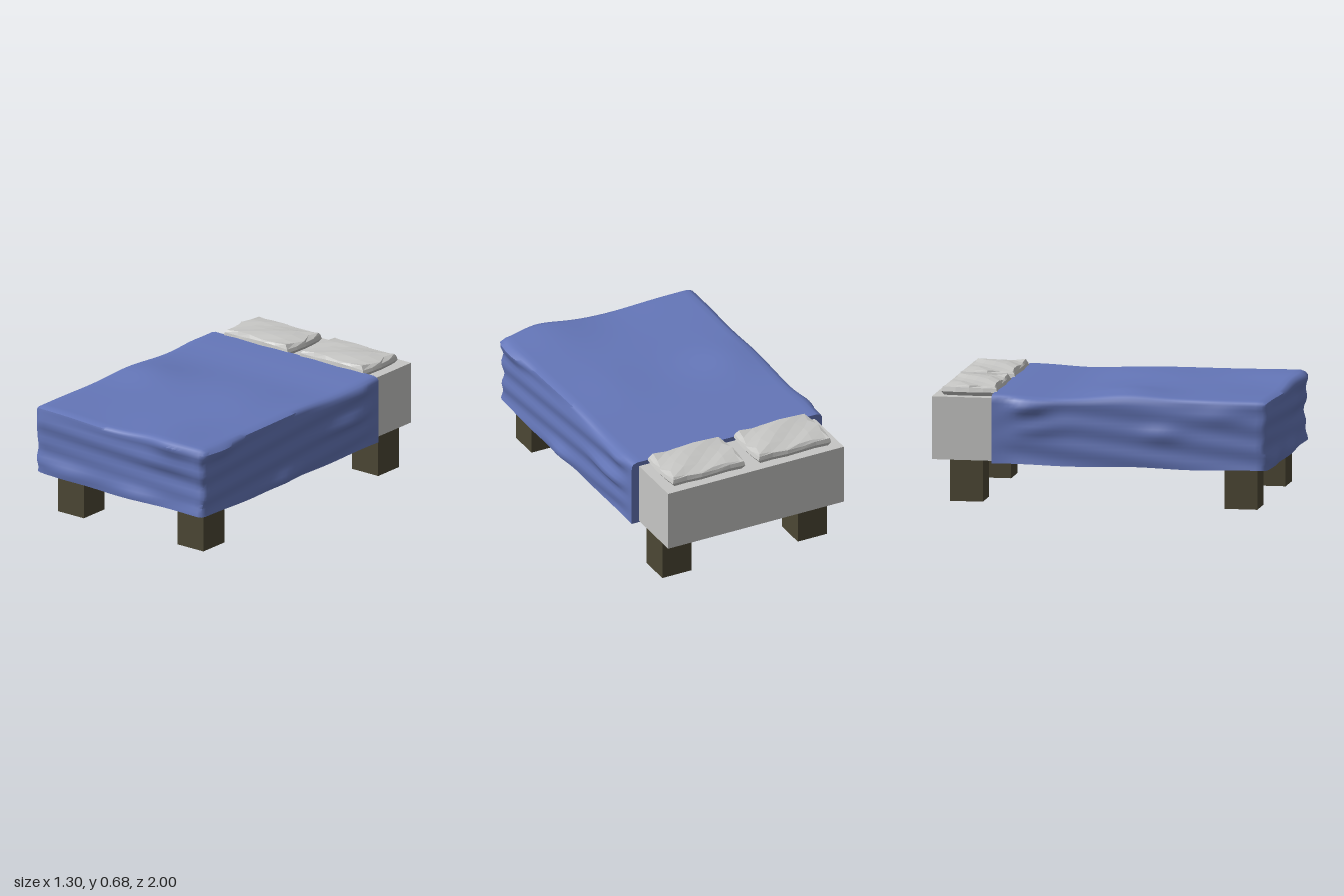
import * as THREE from 'three';
import { mergeVertices, toCreasedNormals } from 'three/addons/utils/BufferGeometryUtils.js';

const mat = (name, color) => {
  const m = new THREE.MeshStandardMaterial({ color });
  m.name = name;
  return m;
};

// Smooth bump around c with width w
const bump = (v, c, w) => Math.exp(-(((v - c) / w) ** 2));

// Moves every vertex of a geometry by a rule, returning a welded geometry
function reshape(geometry, rule) {
  geometry.deleteAttribute('uv');
  geometry.deleteAttribute('normal');
  const geo = mergeVertices(geometry);
  const pos = geo.attributes.position;
  const p = new THREE.Vector3();
  for (let i = 0; i < pos.count; i++) {
    rule(p.fromBufferAttribute(pos, i));
    pos.setXYZ(i, p.x, p.y, p.z);
  }
  return geo;
}

// Rumpled blanket: a soft-edged block with folds along its sides
function blanketGeometry() {
  const x0 = -0.605, x1 = 0.625, y0 = 0.238, y1 = 0.637, z0 = -0.645, z1 = 0.96, r = 0.03;
  const box = new THREE.BoxGeometry(x1 - x0, y1 - y0, z1 - z0, 36, 16, 48);
  box.translate((x0 + x1) / 2, (y0 + y1) / 2, (z0 + z1) / 2);
  const inner = new THREE.Vector3(), off = new THREE.Vector3();
  const lo = new THREE.Vector3(x0 + r, y0, z0), hi = new THREE.Vector3(x1 - r, y1 - r, z1 - r);
  const geo = reshape(box, (p) => {
    const { x, y, z } = p;
    // Rounded top, front and side edges
    inner.copy(p).clamp(lo, hi);
    off.subVectors(p, inner);
    if (off.length() > r) p.copy(inner).add(off.setLength(r));

    const side = Math.min(1, Math.abs(x) / 0.61) ** 8;
    const front = Math.max(0, z / z1) ** 10;
    const top = ((y - y0) / (y1 - y0)) ** 4;
    const back = Math.min(1, (z - z0) / 0.15);

    // Side folds
    if (x > 0) {
      p.x += side * back * (0.025 * bump(y, 0.44, 0.035) * bump(z, -0.38, 0.2)
        + 0.02 * bump(y, 0.26, 0.04) * bump(z, 0.22, 0.12)
        + 0.024 * bump(y, 0.6, 0.04) * bump(z, 0.8, 0.13)
        + 0.015 * bump(y, 0.59, 0.04) * bump(z, -0.5, 0.12)
        + 0.006 * Math.sin(y * 48 + z * 4));
    } else {
      p.x -= side * back * (0.048 * bump(y, 0.575, 0.045) * bump(z, -0.44, 0.12)
        + 0.022 * bump(y, 0.44, 0.04) * bump(z, -0.4, 0.15)
        + 0.018 * bump(y, 0.44, 0.05) * bump(z, 0.35, 0.12)
        + 0.015 * bump(y, 0.56, 0.05) * bump(z, 0.7, 0.14)
        + 0.005 * Math.sin(y * 45 + z * 5));
    }
    // Front folds
    p.z += front * (0.035 * bump(y, 0.62, 0.07) * bump(x, 0.39, 0.14)
      + 0.012 * bump(y, 0.5, 0.04) * bump(x, 0.35, 0.2)
      + 0.008 * bump(y, 0.26, 0.04) * Math.sin(x * 12)
      - 0.012 * bump(y, 0.4, 0.08)
      + 0.005 * Math.sin(y * 52 + x * 3));
    // Uneven top
    p.y += top * (0.028 * bump(x, -0.42, 0.22) * bump(z, 0.15, 0.2)
      + 0.018 * bump(x, 0.35, 0.2) * bump(z, 0.95, 0.3)
      - 0.013 * bump(x, -0.08, 0.25) * bump(z, 0.95, 0.3)
      - 0.014 * bump(z, -0.28, 0.22)
      + 0.01 * bump(x, 0.3, 0.2) * bump(z, 0.2, 0.25));
    // Wavy hem
    p.y -= (1 - (y - y0) / (y1 - y0)) ** 6 * 0.009 * bump(x, -0.06, 0.18) * front;
    p.y += (1 - (y - y0) / (y1 - y0)) ** 6 * side * 0.004 * Math.sin(z * 9);
  });
  return toCreasedNormals(geo, 0.95);
}

// Low-poly pillow: a faceted block, tapered up and down, with a lumpy top
function pillowGeometry() {
  const w = 0.49, h = 0.066, d = 0.315;
  const geo = reshape(new THREE.BoxGeometry(w, h, d, 5, 3, 4), (p) => {
    const u = p.x / (w / 2), v = p.z / (d / 2), t = p.y / h + 0.5;
    const taper = t > 0.9 ? 0.9 : t > 0.5 ? 0.97 : t > 0.2 ? 1 : 0.93;
    p.x *= taper * (1 - 0.05 * v * v * Math.abs(u));
    p.z *= taper * (1 + 0.03 * Math.sin(u * 5 + 1));
    p.y = t * h;
    if (t > 0.9) {
      p.y += 0.006 * Math.sin(u * 4 + v * 3) - 0.01 * Math.max(u * u, v * v) + 0.004 * v;
      p.x += 0.014 * Math.sin(v * 5 + u);
    } else if (t > 0.5) p.y += 0.005 * Math.sin(u * 4 + v);
  }).toNonIndexed();
  geo.computeVertexNormals();
  return geo;
}

export function createModel() {
  const group = new THREE.Group();
  const blue = mat('blanket blue', 0x6476b8);
  const white = mat('linen grey', 0xc6c6c4);
  const wood = mat('dark wood', 0x4c4734);

  const add = (name, geometry, material, x = 0, y = 0, z = 0) => {
    const mesh = new THREE.Mesh(geometry, material);
    mesh.name = name;
    mesh.position.set(x, y, z);
    group.add(mesh);
    return mesh;
  };

  // Mattress
  add('mattress', new THREE.BoxGeometry(1.135, 0.363, 1.9), white, 0.01, 0.4285, -0.05);

  // Blanket
  add('blanket', blanketGeometry(), blue);

  // Pillows
  const pillow = pillowGeometry();
  add('rightPillow', pillow, white, -0.268, 0.61, -0.793);
  add('leftPillow', pillow, white, 0.287, 0.61, -0.793);

  // Legs
  const leg = new THREE.BoxGeometry(0.19, 0.252, 0.19);
  for (const [sideName, x] of [['Right', -0.405], ['Left', 0.47]]) {
    for (const [endName, z] of [['front', 0.785], ['back', -0.81]]) {
      add(`${endName}${sideName}Leg`, leg, wood, x, 0.126, z);
    }
  }
  return group;
}
